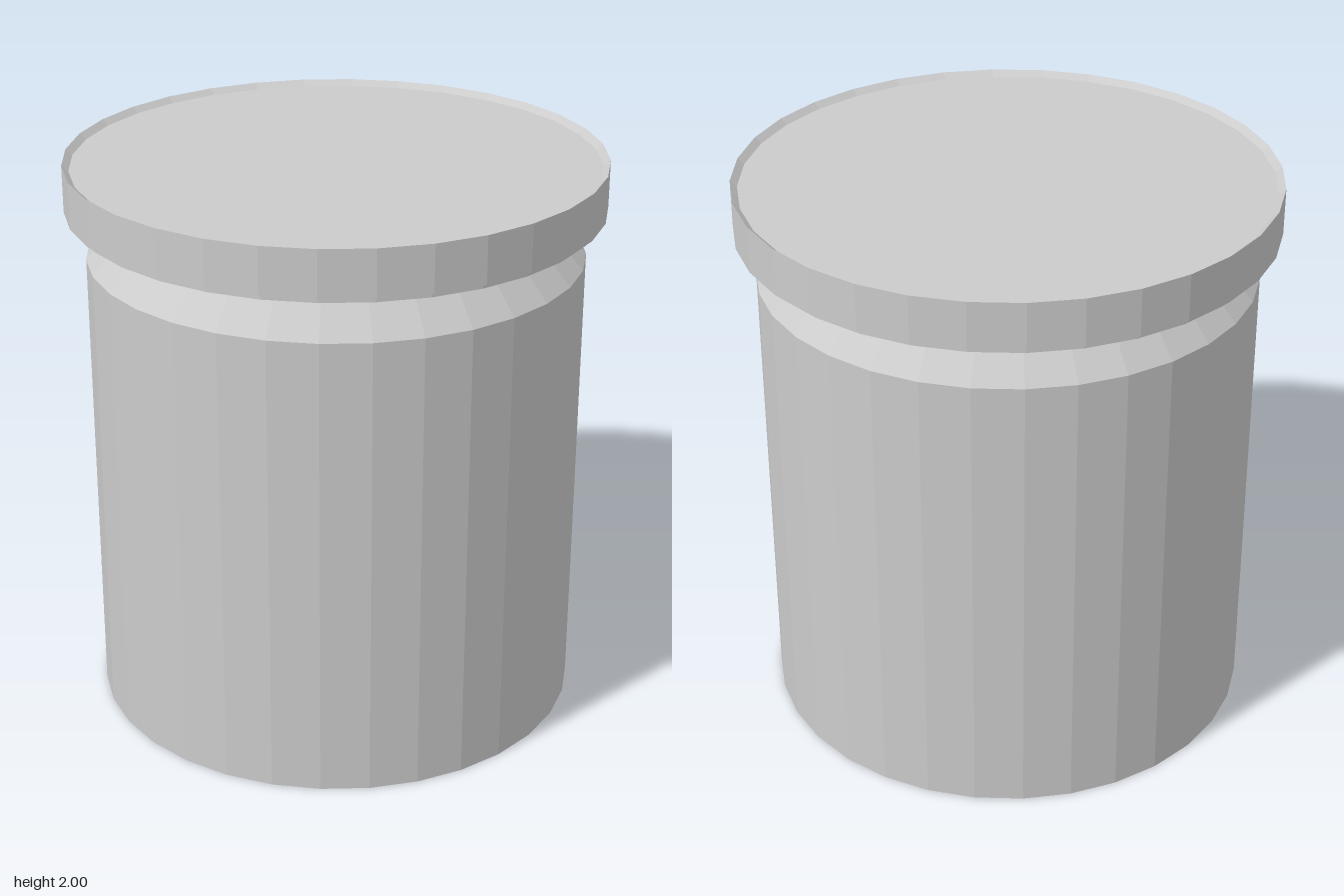
import * as THREE from 'three';

const SIDES = 32;

// Turn a closed [radius, height] outline, listed from bottom to top
function turned(name, outline, material) {
  const points = outline.map(([r, y]) => new THREE.Vector2(r, y));
  const mesh = new THREE.Mesh(new THREE.LatheGeometry(points, SIDES), material);
  mesh.name = name;
  return mesh;
}

export function createModel() {
  const group = new THREE.Group();
  group.name = 'jar';
  const material = new THREE.MeshStandardMaterial({ color: 0xcccccc, flatShading: true });

  // Body with a slightly recessed base and a sloping shoulder that runs into the lid
  group.add(turned('body', [
    [0, 0.02], [0.845, 0.02], [0.867, 0], [0.867, 1.66], [0.725, 1.822], [0, 1.822],
  ], material));

  // Lid with a stepped lower lip and a shallow dished top
  group.add(turned('lid', [
    [0, 1.808], [0.77, 1.808], [0.914, 1.816], [0.914, 1.835],
    [0.935, 1.835], [0.935, 2], [0.912, 1.98], [0, 1.98],
  ], material));

  return group;
}
